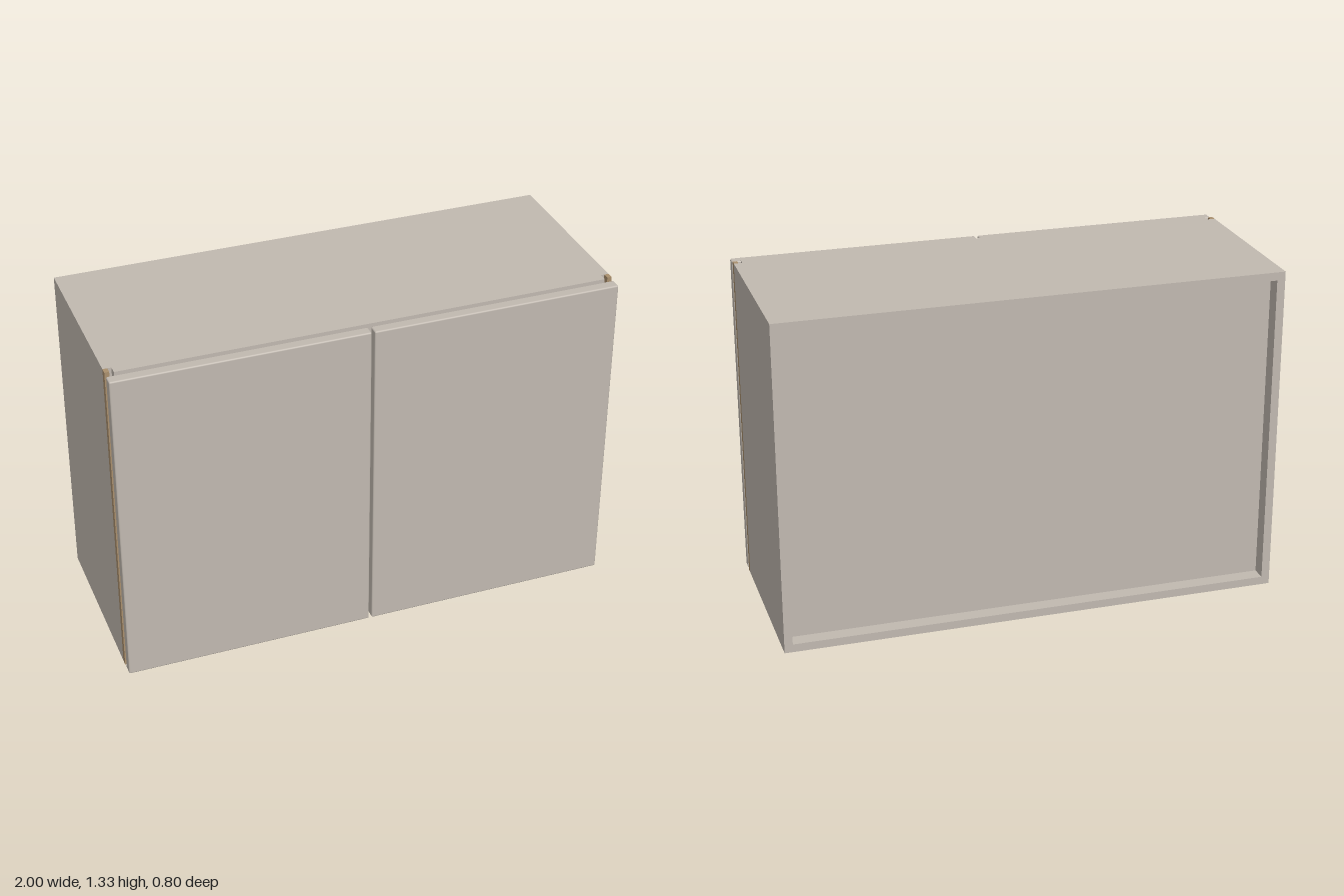
import * as THREE from 'three';
import { RoundedBoxGeometry } from 'three/addons/geometries/RoundedBoxGeometry.js';

const H = 1.334, T = 0.033, BACK = -0.4;

export function createModel() {
  const model = new THREE.Group();
  model.name = 'wallCabinet';
  const panel = new THREE.MeshStandardMaterial({ name: 'warm grey panel', color: 0xc1b9b0 });
  const trim = new THREE.MeshStandardMaterial({ name: 'tan edge trim', color: 0xa98f6d });

  // Adds a mesh spanning two opposite corners; a radius softens the edges.
  function block(name, material, [x0, y0, z0], [x1, y1, z1], radius = 0) {
    const size = [x1 - x0, y1 - y0, z1 - z0];
    const geometry = radius
      ? new RoundedBoxGeometry(...size, 2, radius)
      : new THREE.BoxGeometry(...size);
    const mesh = new THREE.Mesh(geometry, material);
    mesh.name = name;
    mesh.position.set((x0 + x1) / 2, (y0 + y1) / 2, (z0 + z1) / 2);
    model.add(mesh);
  }

  // Top and bottom panels sit between the sides and reach further forward
  block('bottomPanel', panel, [T - 1, 0, BACK], [1 - T, T, 0.345]);
  block('topPanel', panel, [T - 1, H - T, BACK], [1 - T, H, 0.345]);

  // Back panel, set in from the rear edge of the carcass
  block('backPanel', panel, [T - 1, T, BACK + 0.06], [1 - T, H - T, BACK + 0.075]);

  for (const [side, s] of [['left', 1], ['right', -1]]) {
    const span = (a, b) => (s > 0 ? [a, b] : [-b, -a]);

    // Side panel
    let [a, b] = span(1 - T, 1);
    block(side + 'SidePanel', panel, [a, 0, BACK], [b, H, 0.312]);

    // Edge trim standing on the outer front edge of the side panel
    [a, b] = span(0.982, 1);
    block(side + 'EdgeTrim', trim, [a, 0, 0.312], [b, H, 0.338]);

    // Door with softened edges, standing clear of the carcass
    [a, b] = span(0.006, 1);
    block(side + 'Door', panel, [a, 0, 0.355], [b, 1.328, 0.4], 0.006);
  }
  return model;
}
